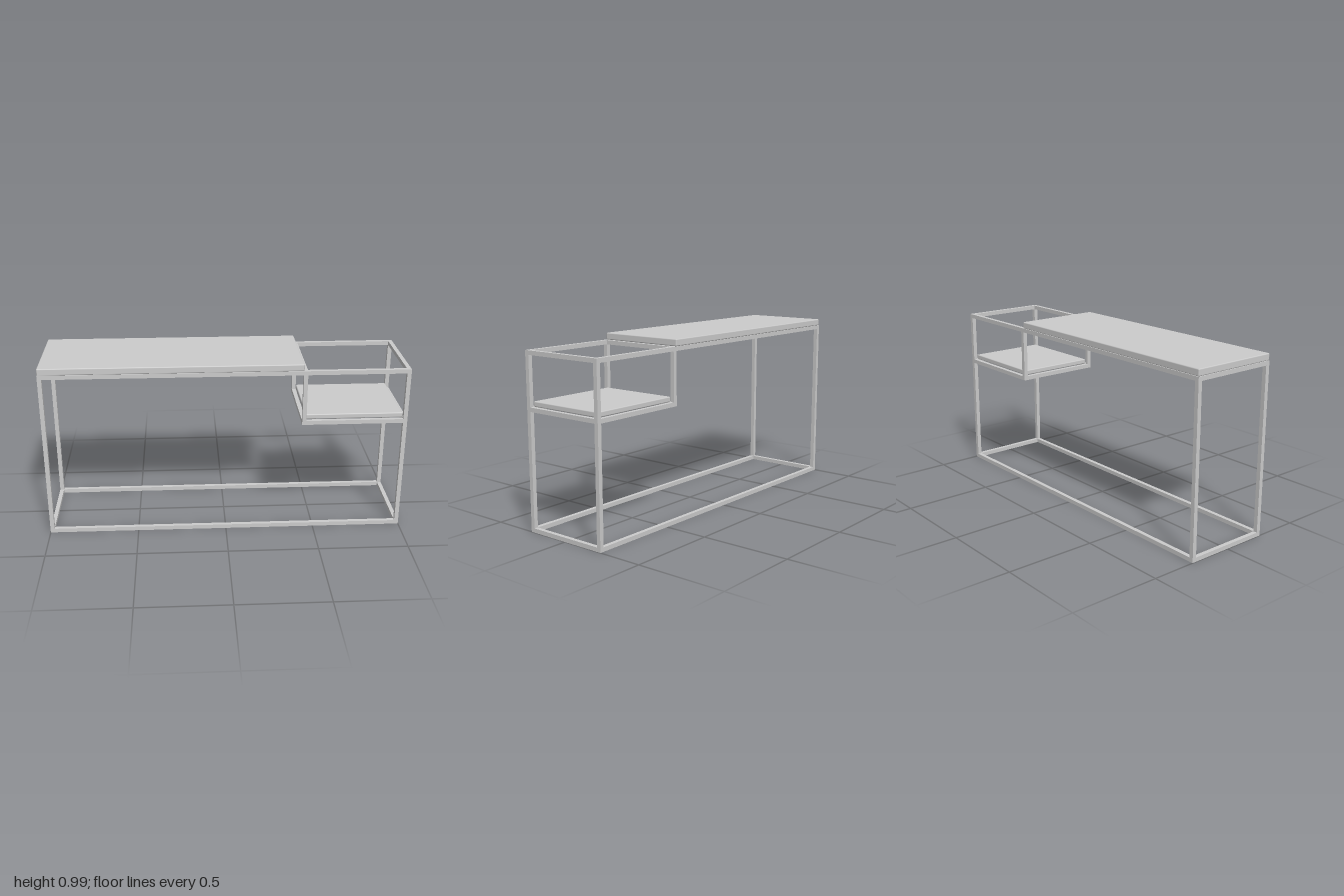
import * as THREE from 'three';
import { RoundedBoxGeometry } from 'three/addons/geometries/RoundedBoxGeometry.js';

const material = new THREE.MeshStandardMaterial({ color: 0xcccccc });
const T = 0.023; // thickness of the square frame tube

export function createModel() {
  const group = new THREE.Group();
  group.name = 'consoleTable';

  const add = (name, geometry, x, y, z) => {
    const mesh = new THREE.Mesh(geometry, material);
    mesh.name = name;
    mesh.position.set(x, y, z);
    group.add(mesh);
  };
  // Box given by its minimum and maximum corners
  const bar = (name, [x0, y0, z0], [x1, y1, z1]) =>
    add(name, new THREE.BoxGeometry(x1 - x0, y1 - y0, z1 - z0), (x0 + x1) / 2, (y0 + y1) / 2, (z0 + z1) / 2);
  // Board with softened edges, centred on z = 0
  const board = (name, x0, x1, y0, y1, depth) =>
    add(name, new RoundedBoxGeometry(x1 - x0, y1 - y0, depth, 1, 0.006), (x0 + x1) / 2, (y0 + y1) / 2, 0);

  const D = 0.25; // half depth
  const L = -1, M = 0.418, R = 1; // left end, shelf divider, right end
  const TOP = 0.952, SHELF = 0.662; // upper faces of the two upper frames
  const inner = D - T;

  // Long rails and posts, mirrored front to back
  for (const side of [1, -1]) {
    const z0 = side > 0 ? inner : -D;
    const z1 = z0 + T;
    const word = side > 0 ? 'front' : 'back';
    bar(word + 'FloorRail', [L, 0, z0], [R, T, z1]);
    bar(word + 'TopRail', [L, TOP - T, z0], [R, TOP, z1]);
    bar(word + 'ShelfRail', [M + T, SHELF - T, z0], [R - T, SHELF, z1]);
    bar(word + 'RightLeg', [L, T, z0], [L + T, TOP - T, z1]);
    bar(word + 'LeftLeg', [R - T, T, z0], [R, TOP - T, z1]);
    bar(word + 'DividerPost', [M, SHELF - T, z0], [M + T, TOP - T, z1]);
  }

  // Cross rails running front to back: [x start, upper face]
  const cross = [[L, T], [R - T, T], [L, TOP], [M, TOP], [R - T, TOP], [M, SHELF], [R - T, SHELF]];
  for (const [x, y] of cross) bar('crossRail', [x, y - T, -inner], [x + T, y, inner]);

  // Main top and the lowered shelf
  board('tableTop', L, 0.421, TOP, 0.99, 2 * D);
  board('lowShelf', M + T, R - T, SHELF, 0.691, 2 * inner);

  return group;
}
